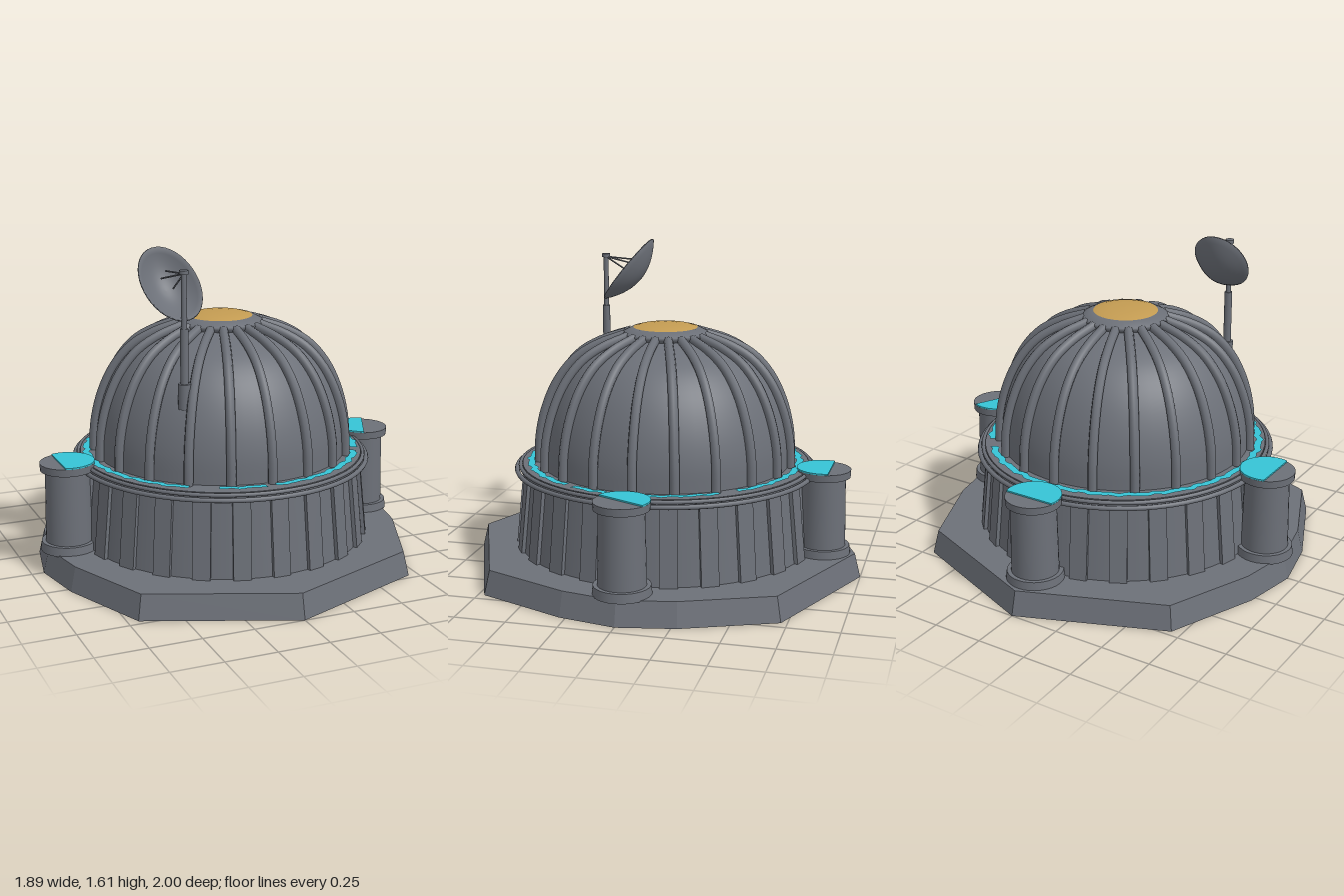
import * as THREE from 'three';

export function createModel() {
  const model = new THREE.Group();
  const mat = (name, color) => {
    const m = new THREE.MeshStandardMaterial({ color });
    m.name = name;
    return m;
  };
  const grey = mat('slate grey', 0x6c7078);
  const cyan = mat('cyan paint', 0x36c4d6);
  const gold = mat('gold paint', 0xc49c52);

  const add = (name, geo, material = grey, parent = model) => {
    const mesh = new THREE.Mesh(geo, material);
    mesh.name = name;
    parent.add(mesh);
    return mesh;
  };
  const vecs = (pts) => pts.map(([x, y]) => new THREE.Vector2(x, y));
  const lathe = (pts, n = 64) => new THREE.LatheGeometry(vecs(pts), n);
  const disc = (r0, r1, h, y, n = 32) => new THREE.CylinderGeometry(r1, r0, h, n).translate(0, y + h / 2, 0);

  // Stone plinth: mirrored quarter outline, sides sloping inwards
  const q = [[0, 1], [0.7, 0.72], [0.885, 0.28], [0.94, 0]];
  const half = [...q, ...q.slice(0, 3).reverse().map(([x, z]) => [x, -z])];
  const outline = [...half, ...half.slice(1, -1).reverse().map(([x, z]) => [-x, z])];
  const plinth = new THREE.ExtrudeGeometry(new THREE.Shape(vecs(outline)), { depth: 0.12, bevelEnabled: false });
  plinth.rotateX(-Math.PI / 2);
  const pos = plinth.attributes.position;
  for (let i = 0; i < pos.count; i++) {
    if (pos.getY(i) > 0.06) pos.setXYZ(i, pos.getX(i) * 0.97, 0.12, pos.getZ(i) * 0.97);
  }
  plinth.computeVertexNormals();
  add('plinth', plinth);

  // Drum wall with leaning pilasters, slightly longer front to back
  const drum = new THREE.Group();
  drum.name = 'drum';
  drum.scale.z = 1.025;
  model.add(drum);
  add('drumWall', lathe([[0.722, 0.12], [0.685, 0.5]]), grey, drum);
  for (let i = 0; i < 24; i++) {
    const spoke = new THREE.Group();
    spoke.name = 'pilasterSpoke';
    spoke.rotation.y = (i * Math.PI) / 12;
    drum.add(spoke);
    const p = add('pilaster', new THREE.BoxGeometry(0.085, 0.4, 0.04), grey, spoke);
    p.position.set(0, 0.31, 0.7);
    p.rotation.x = -0.1;
  }

  // Walkway around the dome and its two hoops
  add('walkway', lathe([[0.685, 0.49], [0.705, 0.5], [0.705, 0.54], [0.705, 0.54], [0.6, 0.541]]), grey, drum);
  [[0.732, 0.012, 0.51], [0.715, 0.01, 0.53]].forEach(([r, t, y]) => {
    add('hoop', new THREE.TorusGeometry(r, t, 8, 72).rotateX(Math.PI / 2).translate(0, y, 0), grey, drum);
  });

  // Worn cyan paint on the walkway, in arcs given in degrees
  [[-3, 36], [44, 235], [247, 266], [270, 330], [334, 350]].forEach(([a, b]) => {
    const rad = Math.PI / 180;
    const arc = new THREE.RingGeometry(0.657, 0.692, Math.ceil((b - a) / 2), 1, a * rad, (b - a) * rad);
    const p = arc.attributes.position;
    for (let i = 0; i < p.count; i++) {
      const t = Math.atan2(p.getY(i), p.getX(i));
      const k = 1 + 0.008 * Math.sin(37 * t) + 0.006 * Math.sin(61 * t);
      p.setXY(i, p.getX(i) * k, p.getY(i) * k);
    }
    add('walkwayPaint', arc.rotateX(-Math.PI / 2).translate(0, 0.547, 0), cyan);
  });

  // Dome shell and ribs share one profile
  const profile = [[0.638, 0.53], [0.63, 0.68], [0.595, 0.83], [0.53, 0.97], [0.44, 1.075], [0.33, 1.14], [0.2, 1.185]];
  const curve = new THREE.CatmullRomCurve3(profile.map(([r, y]) => new THREE.Vector3(0, y, r)));
  const shell = curve.getPoints(24).map((v) => [v.z - 0.012, v.y - 0.008]);
  add('domeShell', lathe(shell));
  const rib = new THREE.TubeGeometry(curve, 24, 0.023, 8);
  for (let i = 0; i < 20; i++) {
    add('domeRib', rib).rotation.y = (i * Math.PI) / 10;
  }

  // Crown collar and gold cap
  add('crownCollar', lathe([[0.19, 1.16], [0.215, 1.185], [0.21, 1.197], [0.165, 1.22], [0, 1.222]], 40));
  add('crownCap', lathe([[0.163, 1.219], [0.13, 1.229], [0.07, 1.235], [0, 1.236]], 32), gold);

  // Three round towers; local +x points at the dome, paint spans the given arc
  const towers = [
    ['rightTower', -0.805, 0, 0, 0, [-1.9, 1.9]],
    ['leftTower', 0.805, 0, Math.PI, 0, [-2.09, 1.2]],
    ['backTower', 0, -0.805, -Math.PI / 2, -0.01, [-1.85, 1.85]],
  ];
  towers.forEach(([name, x, z, turn, dy, [a0, a1]]) => {
    const t = new THREE.Group();
    t.name = name;
    t.position.set(x, 0, z);
    t.rotation.y = turn;
    model.add(t);
    add('towerFoot', disc(0.14, 0.135, 0.045, 0.115), grey, t);
    add('towerBody', disc(0.115, 0.108, 0.39, 0.14), grey, t);
    add('towerCap', disc(0.132, 0.134, 0.037, 0.52 + dy), grey, t);
    const seg = new THREE.Shape();
    seg.absarc(0, 0, 0.133, a0, a1, false);
    const paint = new THREE.ExtrudeGeometry(seg, { depth: 0.008, bevelEnabled: false, curveSegments: 20 });
    add('towerPaint', paint.rotateX(-Math.PI / 2).translate(0, 0.556 + dy, 0), cyan, t);
  });

  // Aerial: stepped mast on the front right of the dome
  const aerial = new THREE.Group();
  aerial.name = 'aerial';
  model.add(aerial);
  [['mastFoot', 0.03, 0.88, 0.12], ['lowerMast', 0.019, 0.9, 0.36], ['upperMast', 0.013, 1.25, 0.27], ['mastHead', 0.021, 1.513, 0.018]]
    .forEach(([name, r, y, h]) => add(name, disc(r, r, h, y, 16).translate(-0.35, 0, 0.41), grey, aerial));

  // Oval dish, tipped up and forwards
  const dishProfile = [];
  for (let i = 0; i <= 8; i++) dishProfile.push([i / 8, -0.08 * (1 - (i / 8) ** 2)]);
  for (let i = 8; i >= 0; i--) dishProfile.push([(i / 8) * 0.98, 0.008 - 0.08 * (1 - (i / 8) ** 2)]);
  const dish = add('dish', lathe(dishProfile, 40).scale(0.142, 1, 0.2), grey, aerial);
  dish.position.set(-0.37, 1.45, 0.29);
  dish.rotation.set(0.91, 0.25, 0);

  // Thin feed struts from the mast head to the dish
  [[-0.4, 1.47, 0.25], [-0.34, 1.42, 0.25], [-0.37, 1.5, 0.23]].forEach((end) => {
    const path = new THREE.LineCurve3(new THREE.Vector3(-0.35, 1.515, 0.41), new THREE.Vector3(...end));
    add('feedStrut', new THREE.TubeGeometry(path, 1, 0.004, 6), grey, aerial);
  });

  return model;
}
